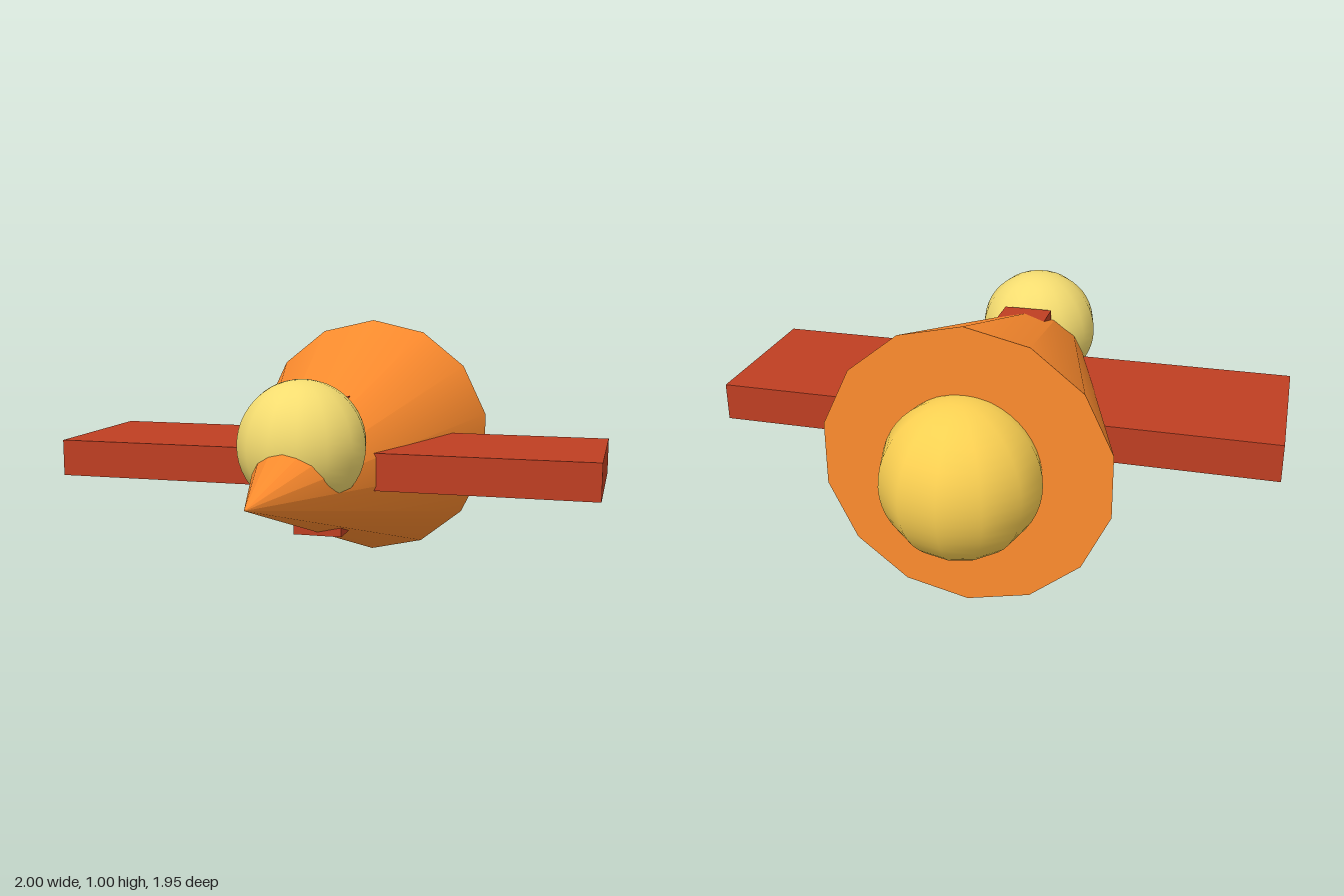
import * as THREE from 'three';

const MID = 0.5; // height of the body axis

export function createModel() {
  const model = new THREE.Group();
  const orange = new THREE.MeshStandardMaterial({ color: 0xff8c2e });
  const red = new THREE.MeshStandardMaterial({ color: 0xbf3f22 });
  const paleYellow = new THREE.MeshStandardMaterial({ color: 0xf4dc70 });
  const yellow = new THREE.MeshStandardMaterial({ color: 0xfbd052 });

  const add = (name, geometry, material, x, y, z) => {
    const mesh = new THREE.Mesh(geometry, material);
    mesh.name = name;
    mesh.position.set(x, y, z);
    model.add(mesh);
  };

  // Body: a fourteen-sided cone with its tip to the front
  const noseZ = 0.975, baseZ = -0.66;
  const cone = new THREE.ConeGeometry(0.498, noseZ - baseZ, 14).rotateX(Math.PI / 2);
  add('body', cone, orange, 0, MID + 0.002, (noseZ + baseZ) / 2);

  // Wings: one slab straight through the body
  add('wings', new THREE.BoxGeometry(2, 0.135, 0.59), red, 0, MID + 0.002, -0.07);

  // Fin: an upright slab whose front corners poke out above and below
  add('fin', new THREE.BoxGeometry(0.18, 0.5, 0.4), red, 0, MID + 0.004, 0.005);

  // Cockpit dome in front and engine ball at the back
  add('cockpit', new THREE.SphereGeometry(0.225, 14, 24), paleYellow, 0, 0.615, 0.388);
  add('engine', new THREE.SphereGeometry(0.27, 12, 24), yellow, 0, MID + 0.002, -0.706);

  return model;
}
